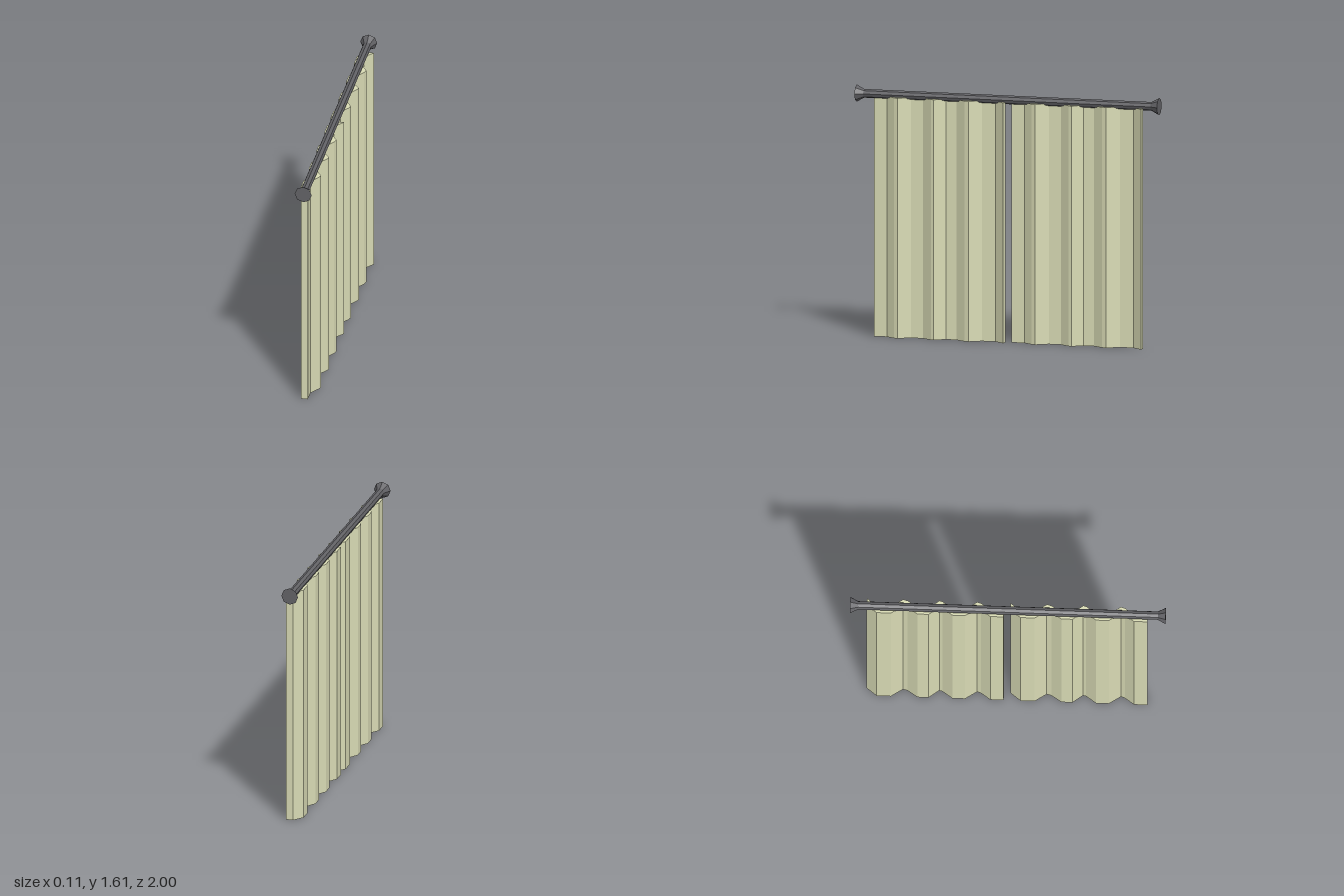
import * as THREE from 'three';

const cloth = new THREE.MeshStandardMaterial({ color: 0xd8dab4, flatShading: true });
const metal = new THREE.MeshStandardMaterial({ color: 0x626266, flatShading: true });

const ROD_Y = 1.553, ROD_R = 0.028, END_R = 0.055;
const CLOTH_H = 1.54, THICK = 0.045;

// Pleated outline of one curtain seen from above: [z, x of the outer face]
const pleats = [
  [0.885, 0.005], [0.80, 0.005], [0.74, 0.047], [0.715, 0.055], [0.64, 0.005],
  [0.56, 0.005], [0.495, 0.05], [0.475, 0.055], [0.41, 0.005],
  [0.34, 0.005], [0.275, 0.047], [0.245, 0.055], [0.17, 0.005],
  [0.08, 0.005], [0.015, 0.055],
];

function addMesh(parent, name, geometry, material) {
  const mesh = new THREE.Mesh(geometry, material);
  mesh.name = name;
  parent.add(mesh);
  return mesh;
}

// Folded sheet of constant thickness, raised from the floor
function curtainGeometry() {
  const outer = pleats.map(([z, x]) => new THREE.Vector2(x, -z));
  const inner = pleats.map(([z, x]) => new THREE.Vector2(x - THICK, -z)).reverse();
  const geometry = new THREE.ExtrudeGeometry(new THREE.Shape([...outer, ...inner]), {
    depth: CLOTH_H, bevelEnabled: false,
  });
  return geometry.rotateX(-Math.PI / 2);
}

export function createModel() {
  const model = new THREE.Group();
  model.name = 'curtains';

  // Eight-sided rod running along z
  const rod = addMesh(model, 'rod',
    new THREE.CylinderGeometry(ROD_R, ROD_R, 1.92, 8).rotateX(Math.PI / 2), metal);
  rod.position.y = ROD_Y;

  // Flared caps at both ends
  for (const side of [1, -1]) {
    const cap = addMesh(model, side > 0 ? 'frontRodEnd' : 'backRodEnd',
      new THREE.CylinderGeometry(END_R, ROD_R, 0.05, 8).rotateX(side * Math.PI / 2), metal);
    cap.position.set(0, ROD_Y, side * 0.975);
  }

  // Two identical curtains with a small gap between them
  const geometry = curtainGeometry();
  addMesh(model, 'frontCurtain', geometry, cloth);
  addMesh(model, 'backCurtain', geometry, cloth).position.z = -0.911;

  return model;
}
